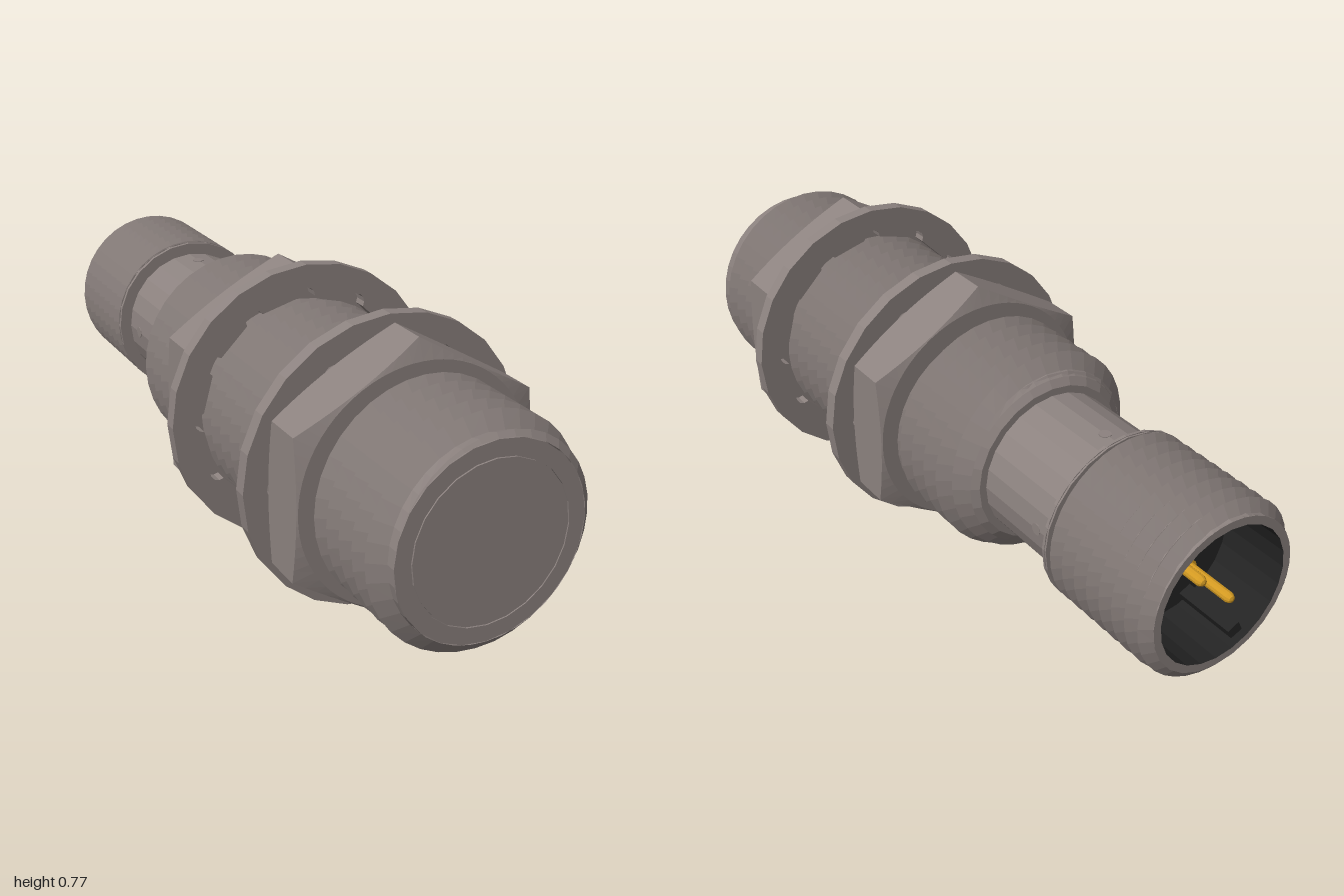
import * as THREE from 'three';

const SIDES = 24;
const mat = (color) => new THREE.MeshStandardMaterial({ color, flatShading: true, side: THREE.DoubleSide });

// Surface around the z axis: f(row, angle) gives [radius, z]
function surface(rows, segs, f) {
  const pos = [], idx = [];
  for (let j = 0; j < rows; j++) {
    for (let i = 0; i <= segs; i++) {
      const a = (i / segs) * Math.PI * 2;
      const [r, z] = f(j, a);
      pos.push(r * Math.cos(a), r * Math.sin(a), z);
    }
  }
  for (let j = 0; j < rows - 1; j++) {
    for (let i = 0; i < segs; i++) {
      const a = j * (segs + 1) + i, d = a + segs + 1;
      idx.push(a, a + 1, d + 1, a, d + 1, d);
    }
  }
  const g = new THREE.BufferGeometry();
  g.setAttribute('position', new THREE.Float32BufferAttribute(pos, 3));
  g.setIndex(idx);
  g.computeVertexNormals();
  return g;
}

// Right-hand helical V thread, limited by a chamfer at both ends
function thread(z0, z1, pitch, root, crest, cham0, cham1) {
  const rows = 2 * Math.ceil((z1 - z0) / pitch) + 5;
  return surface(rows, 36, (j, a) => {
    const z = THREE.MathUtils.clamp(z0 + pitch * (j / 2 - 1 + a / (2 * Math.PI)), z0, z1);
    const limit = Math.min(cham0 + (z - z0) * 1.3, cham1 + (z1 - z) * 1.1);
    return [Math.min(j % 2 ? crest : root, limit), z];
  });
}

// Lathe profile of [radius, z] pairs turned about z
function turned(points) {
  return new THREE.LatheGeometry(points.map(([r, z]) => new THREE.Vector2(r, z)), SIDES).rotateX(Math.PI / 2);
}

// Hexagon nut, corners at top and bottom, cut by a cone on both faces
function nut(depth) {
  const flat = 0.32, step = Math.PI / 3;
  return surface(6, 72, (j, a) => {
    const off = ((a % step) + step) % step - step / 2;
    const hex = flat / Math.cos(Math.abs(a % step) < 1e-6 ? 0 : off + step / 2 > step / 2 ? off - step / 2 : off + step / 2);
    const cut = (hex - flat) * 0.36 + 0.002;
    return [[0.24, 0], [flat - 0.003, 0], [hex, cut], [hex, depth - cut], [flat - 0.003, depth], [0.24, depth]][j];
  });
}

// Flat washer with twelve round notches along its inner edge
function washer(depth) {
  const polar = (r, a) => new THREE.Vector2(r * Math.cos(a), r * Math.sin(a));
  const outer = [], inner = [];
  for (let i = 0; i < 24; i++) outer.push(polar(0.385, (i * Math.PI) / 12));
  for (let n = 0; n < 12; n++) {
    const a = (n * Math.PI) / 6, c = polar(0.297, a);
    for (let k = -3; k <= 3; k++) inner.push(polar(0.026, a + (k * Math.PI) / 6).add(c));
  }
  const shape = new THREE.Shape(outer);
  shape.holes.push(new THREE.Path(inner));
  return new THREE.ExtrudeGeometry(shape, { depth, bevelEnabled: false });
}

export function createModel() {
  const model = new THREE.Group();
  const axis = new THREE.Group();
  axis.name = 'sensorBody';
  axis.position.y = 0.386;
  model.add(axis);

  const metal = mat(0x8c827f), black = mat(0x242424), gold = mat(0xd39a22);
  const add = (name, geometry, material, z = 0) => {
    const m = new THREE.Mesh(geometry, material);
    m.name = name;
    m.position.z = z;
    axis.add(m);
    return m;
  };

  // Core: rear rim, neck, shoulder and front face with a fine groove
  add('core', turned([
    [0.186, -1], [0.207, -1], [0.203, -0.645], [0.234, -0.645], [0.234, -0.63], [0.2, -0.63],
    [0.2, -0.352], [0.22, -0.352], [0.25, -0.33], [0.249, 1],
    [0.207, 1], [0.207, 0.995], [0.204, 0.995], [0.204, 1], [0, 1],
  ]), metal);

  // Threads
  add('mainThread', thread(-0.34, 1, 0.056, 0.25, 0.29, 0.24, 0.25), metal);
  add('rearThread', thread(-1, -0.64, 0.045, 0.205, 0.235, 0.207, 0.235), metal);

  // Nuts, each with a washer; the two pairs face each other
  add('frontNut', nut(0.145), metal, 0.553);
  add('frontWasher', washer(0.037), metal, 0.516);
  add('rearNut', nut(0.145), metal, -0.045);
  add('rearWasher', washer(0.037), metal, 0.1);

  // Four indicator windows around the neck
  for (let i = 0; i < 4; i++) {
    const w = add('indicatorWindow', new THREE.CylinderGeometry(0.016, 0.016, 0.02, 12), metal, -0.562);
    const a = (i * Math.PI) / 2;
    w.position.x = 0.191 * Math.cos(a);
    w.position.y = 0.191 * Math.sin(a);
    w.rotation.z = a - Math.PI / 2;
  }

  // Socket with key ridge
  add('socket', turned([[0, -0.81], [0.186, -0.81], [0.186, -1]]), black);
  const key = add('socketKey', new THREE.BoxGeometry(0.03, 0.035, 0.17), black, -0.895);
  const ka = (-116 * Math.PI) / 180;
  key.position.x = 0.17 * Math.cos(ka);
  key.position.y = 0.17 * Math.sin(ka);
  key.rotation.z = ka;

  // Contact pins with a rounded tip and a base collar
  for (const s of [1, -1]) {
    const pin = add('contactPin', new THREE.LatheGeometry([
      [0, -0.985], [0.009, -0.982], [0.014, -0.972], [0.014, -0.84], [0.02, -0.84], [0.02, -0.81],
    ].map(([r, z]) => new THREE.Vector2(r, z)), 12).rotateX(Math.PI / 2), gold);
    pin.position.x = 0.049 * s;
    pin.position.y = 0.047 * s;
  }
  return model;
}
